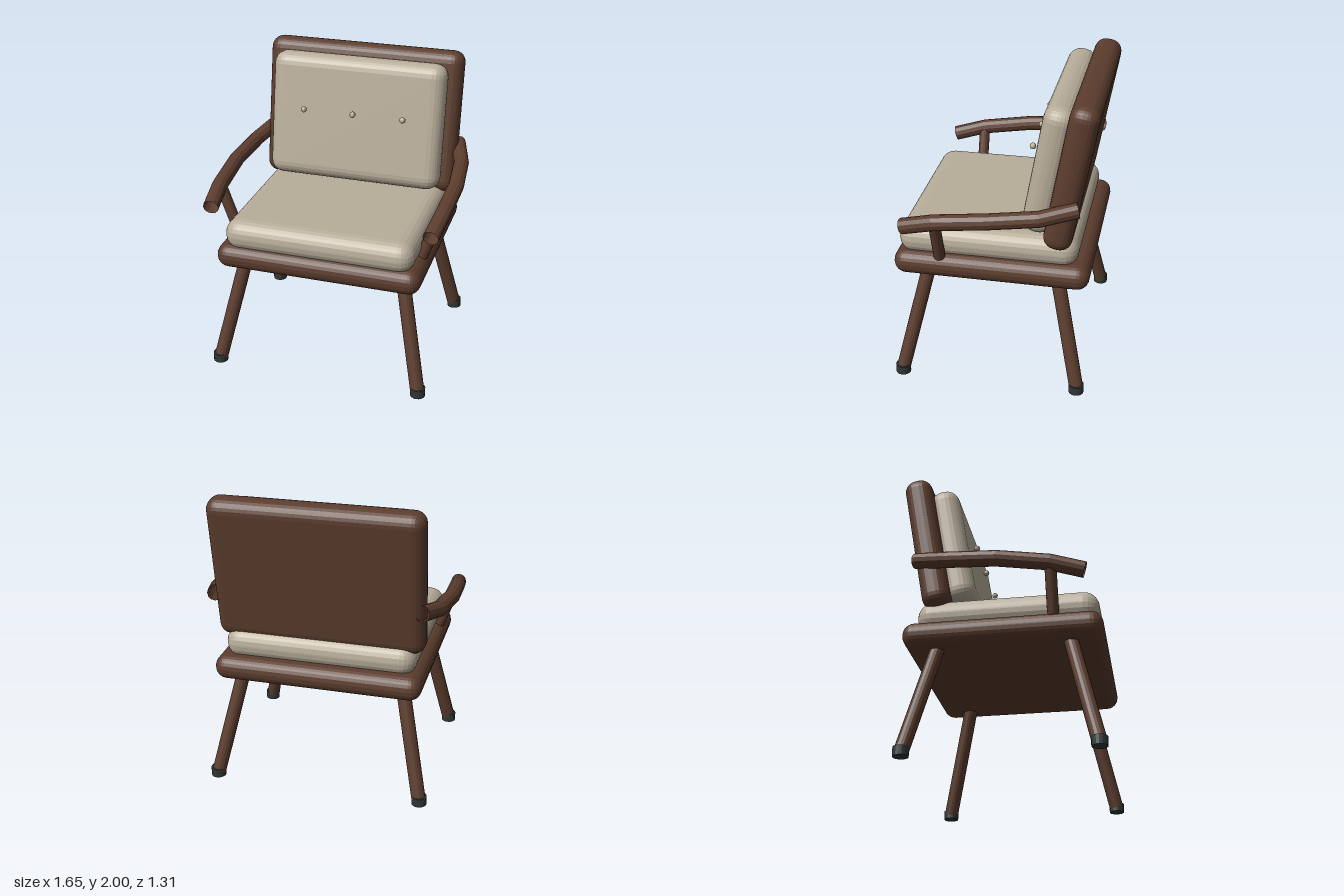
import * as THREE from 'three';
import { RoundedBoxGeometry } from 'three/addons/geometries/RoundedBoxGeometry.js';

export function createModel() {
  const chair = new THREE.Group();
  chair.name = 'armchair';

  const material = (name, color) => {
    const m = new THREE.MeshStandardMaterial({ color, flatShading: true, side: THREE.DoubleSide });
    m.name = name;
    return m;
  };
  const wood = material('brown wood', 0x5c3d2e);
  const fabric = material('beige fabric', 0xb8ad9a);
  const rubber = material('dark rubber', 0x2f3636);

  const add = (name, geometry, mat, x = 0, y = 0, z = 0) => {
    const mesh = new THREE.Mesh(geometry, mat);
    mesh.name = name;
    mesh.position.set(x, y, z);
    chair.add(mesh);
    return mesh;
  };

  // Straight round bar between two points
  const bar = (name, a, b, radius) => {
    const dir = b.clone().sub(a);
    const mid = a.clone().add(b).multiplyScalar(0.5);
    const mesh = add(name, new THREE.CylinderGeometry(radius, radius, dir.length(), 16), wood, mid.x, mid.y, mid.z);
    mesh.quaternion.setFromUnitVectors(new THREE.Vector3(0, 1, 0), dir.normalize());
  };

  // Seat
  add('seatFrame', new RoundedBoxGeometry(1.38, 0.166, 1.28, 3, 0.08), wood, 0, 0.832, 0.01);
  add('seatCushion', new RoundedBoxGeometry(1.275, 0.21, 1.175, 3, 0.1), fabric, 0, 0.98, 0.038);

  // Backrest, leaning backwards
  const lean = -0.174;
  add('backFrame', new RoundedBoxGeometry(1.38, 0.983, 0.186, 3, 0.08), wood, 0, 1.513, -0.493).rotation.x = lean;
  add('backCushion', new RoundedBoxGeometry(1.22, 0.867, 0.2, 3, 0.09), fabric, 0, 1.52, -0.34).rotation.x = lean;

  // Buttons
  for (const x of [-0.35, 0, 0.35]) {
    add('button', new THREE.SphereGeometry(0.021, 12, 8), fabric, x, 1.597, -0.212);
  }

  for (const s of [-1, 1]) {
    const side = s > 0 ? 'left' : 'right';

    // Splayed legs with rubber feet
    for (const [end, footZ, topZ] of [['Front', 0.605, 0.425], ['Back', -0.58, -0.405]]) {
      bar(side + end + 'Leg', new THREE.Vector3(s * 0.7, 0.03, footZ), new THREE.Vector3(s * 0.53, 0.82, topZ), 0.047);
      add(side + end + 'Foot', new THREE.CylinderGeometry(0.05, 0.05, 0.06, 16), rubber, s * 0.703, 0.03, footZ);
    }

    // Bent armrest, one straight length between each pair of points
    const path = new THREE.CatmullRomCurve3([
      [0.735, 1.15, 0.555], [0.76, 1.21, 0.34], [0.775, 1.26, 0],
      [0.745, 1.295, -0.32], [0.675, 1.345, -0.55],
    ].map(([x, y, z]) => new THREE.Vector3(s * x, y, z)));
    path.getPointAt = path.getPoint;
    path.getTangentAt = path.getTangent;
    add(side + 'Armrest', new THREE.TubeGeometry(path, 4, 0.052, 12, false), wood);

    // Armrest post
    bar(side + 'ArmPost', new THREE.Vector3(s * 0.64, 0.9, 0.34), new THREE.Vector3(s * 0.75, 1.21, 0.34), 0.038);
  }

  return chair;
}
